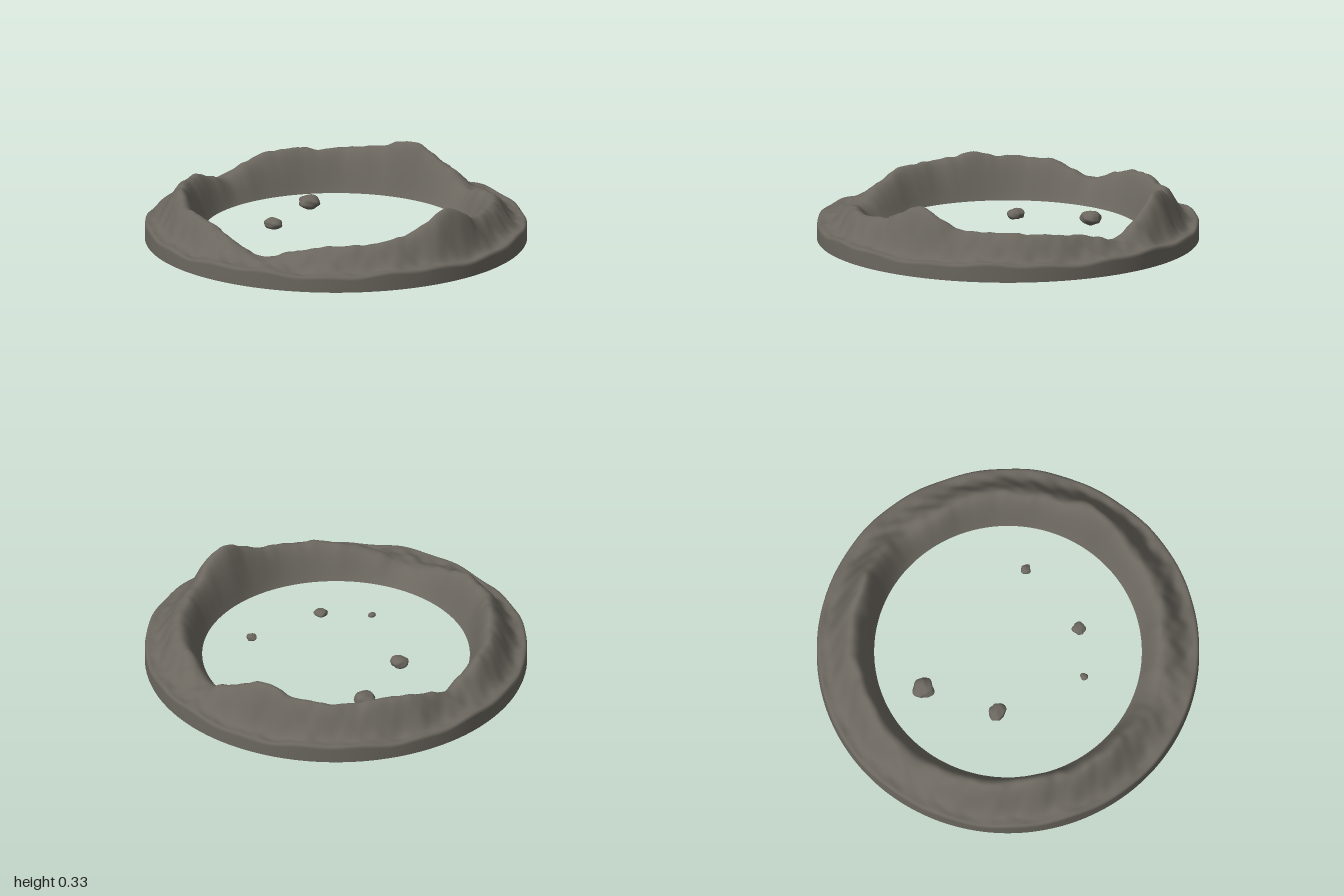
import * as THREE from 'three';
import { mergeVertices } from 'three/addons/utils/BufferGeometryUtils.js';

const rock = new THREE.MeshStandardMaterial({ color: 0x6b675f, side: THREE.DoubleSide });
rock.name = 'grey brown rock';

// Crest height around the ring: [angle in degrees from +x towards +z, height]
const CREST = [
  [0, .21], [12, .14], [20, .165], [33, .2], [45, .21], [55, .225], [65, .22], [75, .24],
  [83, .3], [90, .33], [97, .295], [105, .235], [115, .215], [125, .2], [140, .19], [155, .14],
  [165, .115], [175, .16], [185, .21], [195, .235], [215, .245], [222, .275], [230, .245],
  [250, .235], [258, .2], [268, .16], [278, .2], [286, .24], [297, .25], [315, .24],
  [330, .265], [345, .31], [353, .26],
];

// Smooth periodic interpolation of the crest heights
function crestHeight(deg) {
  const n = CREST.length;
  let i = n - 1;
  while (i > 0 && CREST[i][0] > deg) i--;
  const at = k => CREST[(k + n) % n];
  const end = i === n - 1 ? 360 : CREST[i + 1][0];
  const t = (deg - CREST[i][0]) / (end - CREST[i][0]);
  const [a, b, c, d] = [at(i - 1)[1], at(i)[1], at(i + 1)[1], at(i + 2)[1]];
  return b + 0.5 * t * (c - a + t * (2 * a - 5 * b + 4 * c - d + t * (3 * (b - c) + d - a)));
}

// Lumpy noise, periodic around the ring
function lumps(a, r) {
  return 0.4 * Math.sin(17 * a + 31 * r + 1.3) + 0.3 * Math.sin(29 * a - 47 * r)
    + 0.25 * Math.sin(43 * a + 60 * r + 2.1) + 0.2 * Math.sin(67 * a - 35 * r + 0.7);
}

// Ring wall: one cross-section swept round, open underneath
function craterWall() {
  const around = 288, inner = 12, outer = 18, rows = inner + outer + 4;
  const pos = [], index = [];
  for (let i = 0; i < around; i++) {
    const a = i / around * Math.PI * 2;
    const h = crestHeight(i / around * 360) + 0.007 * lumps(a, 0.8);
    const rc = 0.815 + 0.007 * Math.sin(9 * a + 1) + 0.005 * Math.sin(23 * a);
    const lip = 0.09 + 0.008 * Math.sin(7 * a + 0.5) + 0.005 * Math.sin(19 * a);
    const put = (r, y) => pos.push(r * Math.cos(a), y, r * Math.sin(a));
    // inner slope up to the crest
    for (let j = 0; j <= inner; j++) {
      const t = j / inner;
      put(0.7 + (rc - 0.7) * t,
        0.03 + (h - 0.03) * Math.sin(t * Math.PI / 2) ** 1.15 + 0.004 * t * (1 - t) * lumps(a, 0.75));
    }
    // concave outer slope down to the lip
    for (let j = 1; j <= outer; j++) {
      const t = j / outer, r = rc + (0.99 - rc) * t;
      const w = (0.5 + 0.5 * Math.cos(Math.PI * Math.min(1, t * 1.15))) ** 1.15;
      put(r, lip + (h - lip) * w + 0.045 * t * (1 - t) * lumps(a, r));
    }
    // upright outer edge
    put(0.998, lip - 0.006);
    put(1, lip - 0.018);
    put(1, 0);
  }
  for (let i = 0; i < around; i++) {
    for (let j = 0; j < rows - 1; j++) {
      const p = i * rows + j, q = ((i + 1) % around) * rows + j;
      index.push(p, q, p + 1, q, q + 1, p + 1);
    }
  }
  const g = new THREE.BufferGeometry();
  g.setAttribute('position', new THREE.Float32BufferAttribute(pos, 3));
  g.setIndex(index);
  g.computeVertexNormals();
  return g;
}

// Flattened lumpy boulder
function boulder(radius, seed) {
  let g = new THREE.IcosahedronGeometry(1, 5);
  g.deleteAttribute('uv');
  g.deleteAttribute('normal');
  g = mergeVertices(g, 1e-4);
  const p = g.attributes.position, v = new THREE.Vector3();
  for (let i = 0; i < p.count; i++) {
    v.fromBufferAttribute(p, i);
    const k = 1 + 0.07 * Math.sin(3.1 * v.x + seed) + 0.06 * Math.sin(4.3 * v.z + 2 * seed)
      + 0.05 * Math.sin(5 * v.y + 4 * v.x + seed) + 0.03 * Math.sin(8 * v.z - 6 * v.x + seed);
    v.multiplyScalar(k * radius);
    p.setXYZ(i, v.x, v.y * 0.6, v.z);
  }
  g.computeVertexNormals();
  return g;
}

export function createModel() {
  const group = new THREE.Group();
  group.name = 'crater';
  const wall = new THREE.Mesh(craterWall(), rock);
  wall.name = 'craterWall';
  group.add(wall);

  // Loose boulders on the crater floor: x, y, z, radius
  [
    [0.225, 0.052, -0.435, 0.058], [-0.16, 0.044, -0.305, 0.047], [-0.4, 0.028, 0.13, 0.02],
    [-0.22, 0.038, 0.325, 0.033], [0.2, 0.036, 0.42, 0.028],
  ].forEach(([x, y, z, r], i) => {
    const m = new THREE.Mesh(boulder(r, i * 1.7 + 0.4), rock);
    m.name = 'boulder' + (i + 1);
    m.position.set(x, y, z);
    group.add(m);
  });
  return group;
}
